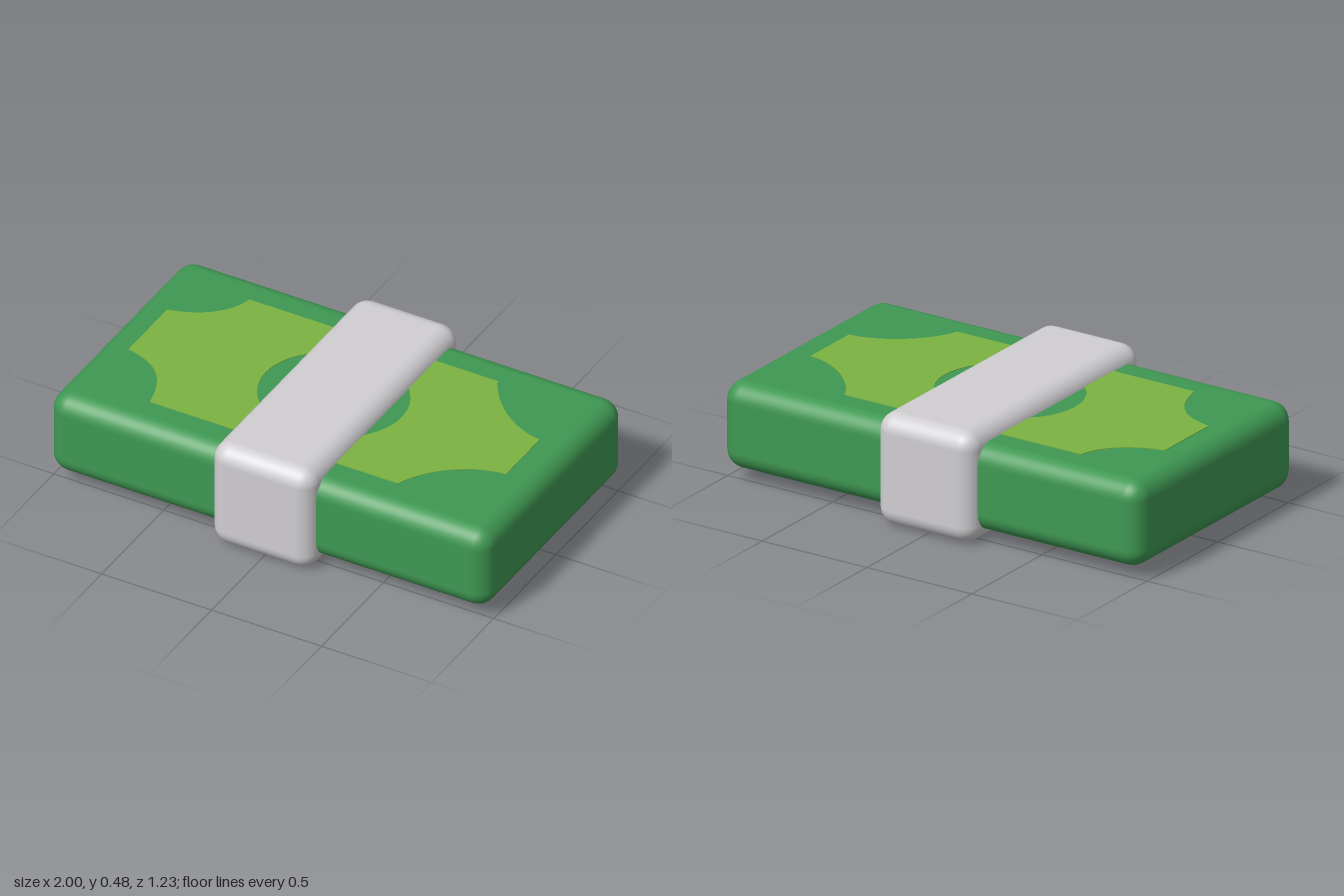
import * as THREE from 'three';
import { RoundedBoxGeometry } from 'three/addons/geometries/RoundedBoxGeometry.js';

const material = (name, color) => {
  const m = new THREE.MeshStandardMaterial({ color });
  m.name = name;
  return m;
};

export function createModel() {
  const group = new THREE.Group();
  group.name = 'banknoteBundle';
  const green = material('banknoteGreen', 0x3f9853);
  const lime = material('printLime', 0x7cb342);
  const grey = material('bandGrey', 0xd0ced1);

  const add = (name, geometry, mat, x, y, z) => {
    const mesh = new THREE.Mesh(geometry, mat);
    mesh.name = name;
    mesh.position.set(x, y, z);
    group.add(mesh);
  };

  // Stack of notes and the paper band wrapped around it
  add('noteStack', new RoundedBoxGeometry(2, 0.37, 1.12, 4, 0.08), green, 0, 0.235, 0);
  add('paperBand', new RoundedBoxGeometry(0.466, 0.477, 1.226, 4, 0.075), grey, -0.003, 0.2385, 0);

  // Printed panel with scooped corners and an oval opening
  const panel = new THREE.Shape();
  panel.moveTo(-0.62, -0.4);
  panel.lineTo(0.51, -0.4);
  panel.bezierCurveTo(0.56, -0.29, 0.7, -0.15, 0.85, -0.135);
  panel.lineTo(0.85, 0.135);
  panel.bezierCurveTo(0.72, 0.14, 0.56, 0.25, 0.51, 0.4);
  panel.lineTo(-0.62, 0.4);
  panel.bezierCurveTo(-0.65, 0.24, -0.72, 0.155, -0.87, 0.13);
  panel.lineTo(-0.87, -0.18);
  panel.bezierCurveTo(-0.75, -0.205, -0.64, -0.28, -0.62, -0.4);
  const oval = new THREE.Path();
  oval.absellipse(-0.01, 0, 0.31, 0.285, 0, Math.PI * 2, true);
  panel.holes.push(oval);

  const print = new THREE.ExtrudeGeometry(panel, { depth: 0.006, bevelEnabled: false, curveSegments: 20 });
  print.rotateX(Math.PI / 2);
  add('printedPanel', print, lime, 0, 0.423, 0);

  return group;
}
